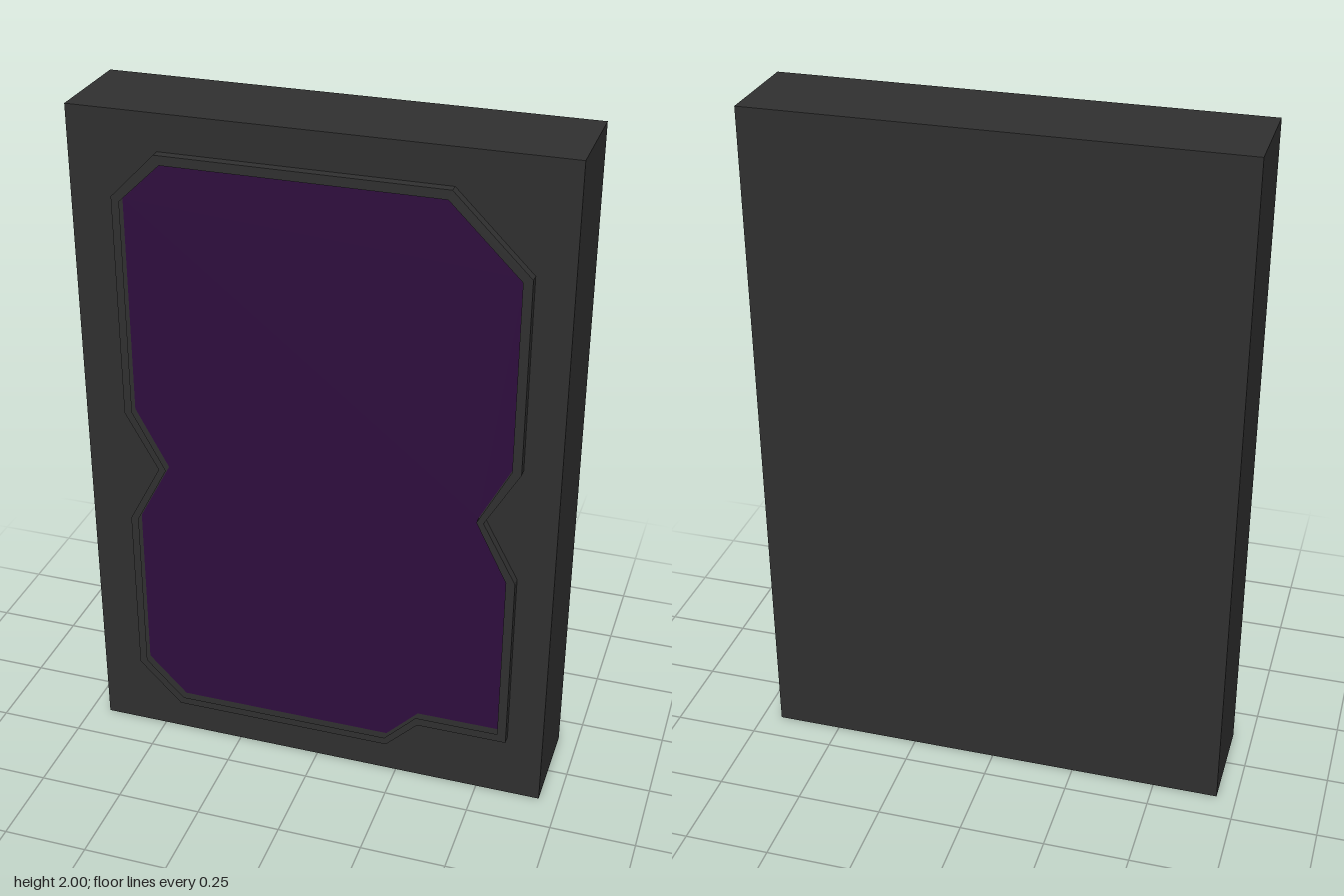
import * as THREE from 'three';

export function createModel() {
  const group = new THREE.Group();
  const charcoal = new THREE.MeshStandardMaterial({ color: 0x303030 });
  charcoal.name = 'charcoal';
  const purple = new THREE.MeshStandardMaterial({ color: 0x2f0d3e });
  purple.name = 'deep purple';

  const points = (list) => list.map(([x, y]) => new THREE.Vector2(x, y));
  const add = (name, geometry, material, z) => {
    const mesh = new THREE.Mesh(geometry, material);
    mesh.name = name;
    mesh.position.z = z;
    group.add(mesh);
    return mesh;
  };

  const bodyFront = 0.135;
  const rimFront = 0.162;

  // Outer and inner outlines of the raised rim, clockwise from the top left
  const outer = points([
    [-0.435, 1.895], [0.37, 1.895], [0.587, 1.68], [0.587, 1.11], [0.49, 0.94],
    [0.587, 0.76], [0.587, 0.205], [0.32, 0.205], [0.225, 0.11], [-0.435, 0.11],
    [-0.563, 0.24], [-0.563, 0.76], [-0.467, 0.94], [-0.563, 1.11], [-0.563, 1.765],
  ]);
  const inner = points([
    [-0.42, 1.868], [0.36, 1.868], [0.561, 1.67], [0.561, 1.115], [0.47, 0.94],
    [0.561, 0.76], [0.561, 0.23], [0.315, 0.23], [0.22, 0.133], [-0.425, 0.133],
    [-0.54, 0.25], [-0.54, 0.76], [-0.445, 0.94], [-0.54, 1.115], [-0.54, 1.753],
  ]);

  // Solid slab
  add('body', new THREE.BoxGeometry(1.384, 2, 0.297), charcoal, bodyFront - 0.1485).position.y = 1;

  // Raised rim around the panel
  const rimShape = new THREE.Shape(outer);
  rimShape.holes.push(new THREE.Path(inner));
  add('rim', new THREE.ExtrudeGeometry(rimShape, {
    depth: rimFront - bodyFront, bevelEnabled: false,
  }), charcoal, bodyFront);

  // Coloured panel set inside the rim
  add('panel', new THREE.ExtrudeGeometry(new THREE.Shape(inner), {
    depth: 0.003, bevelEnabled: false,
  }), purple, bodyFront);

  return group;
}
